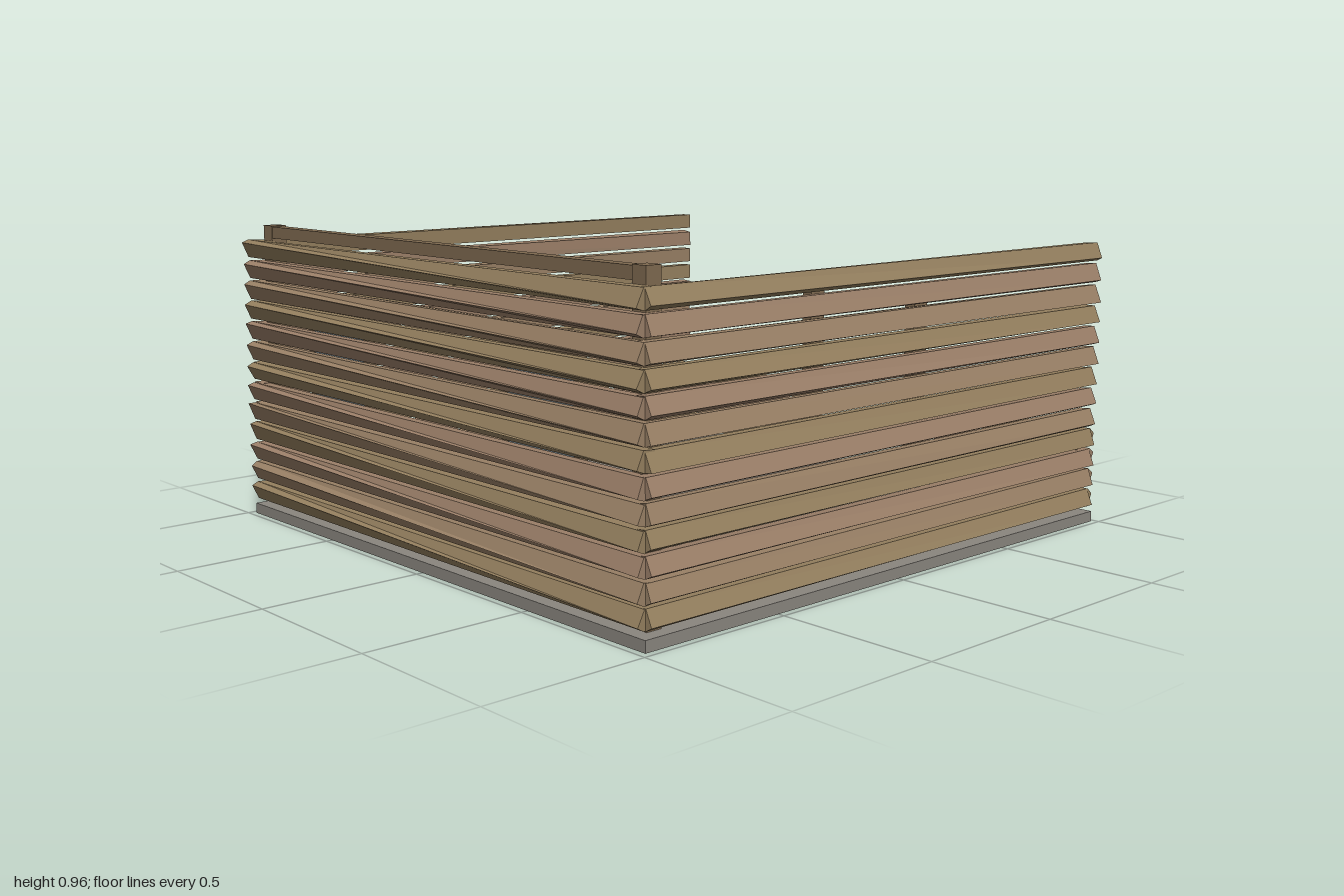
import * as THREE from 'three';

const paint = (color) => new THREE.MeshStandardMaterial({ color, flatShading: true });
const WOODS = [0x9a8166, 0x95805f, 0x9c8069].map(paint);
const POST = paint(0x7f6a50);
const STONE = paint(0x8a867f);
const GLASS = paint(0x71818a);

// Small seeded generator for the hand-hewn irregularity
let seed = 7;
const vary = (amount) => {
  seed = (seed * 16807) % 2147483647;
  return (seed / 2147483647 - 0.5) * 2 * amount;
};

// Five-sided log along x, outer ridge on +z sliding from height r0 to r1
function logGeometry(length, r0, r1) {
  const ring = (x, r) => [
    [-0.03, -0.026], [-0.03, 0.026], [0.01, 0.029], [0.032, r], [0.01, -0.029],
  ].map(([z, y]) => [x, y + vary(0.002), z + vary(0.002)]);
  const a = ring(-length / 2, r0);
  const b = ring(length / 2, r1);
  const out = [];
  const tri = (...corners) => corners.forEach((c) => out.push(...c));
  for (let i = 0; i < 5; i++) {
    const j = (i + 1) % 5;
    tri(a[i], a[j], b[j]);
    tri(a[i], b[j], b[i]);
  }
  for (let i = 1; i < 4; i++) {
    tri(b[0], b[i], b[i + 1]);
    tri(a[0], a[i + 1], a[i]);
  }
  const geometry = new THREE.BufferGeometry();
  geometry.setAttribute('position', new THREE.Float32BufferAttribute(out, 3));
  geometry.computeVertexNormals();
  return geometry;
}

// Stack of logs, turned so that the ridges face outwards
function logWall(name, { x, z, turn, length, rows, r0, r1 }) {
  const wall = new THREE.Group();
  wall.name = name;
  for (let i = 0; i < rows; i++) {
    const log = new THREE.Mesh(
      logGeometry(length, r0 + vary(0.004), r1 + vary(0.004)),
      WOODS[(i * 2 + rows) % 3]
    );
    log.name = 'log';
    log.position.y = 0.081 + i * 0.0673;
    wall.add(log);
  }
  wall.position.set(x, 0, z);
  wall.rotation.y = turn;
  return wall;
}

// Box given by its lower and upper corners
function box(name, lo, hi, material) {
  const size = hi.map((h, i) => h - lo[i]);
  const mesh = new THREE.Mesh(new THREE.BoxGeometry(...size), material);
  mesh.position.set(...lo.map((l, i) => l + size[i] / 2));
  mesh.name = name;
  return mesh;
}

// Framed two-pane window on the inner face of the front wall
function makeWindow(cx) {
  const g = new THREE.Group();
  g.name = 'window';
  const w = 0.165, y0 = 0.395, y1 = 0.715, t = 0.018;
  g.add(box('glass', [cx - w + t, y0 + t, 0.915], [cx + w - t, y1 - t, 0.928], GLASS));
  for (const s of [-1, 1]) {
    const x = cx + s * (w - t / 2);
    g.add(box('frameSide', [x - t / 2, y0, 0.903], [x + t / 2, y1, 0.935], POST));
  }
  for (const y of [y0, y1 - t]) {
    g.add(box('frameRail', [cx - w + t, y, 0.903], [cx + w - t, y + t, 0.935], POST));
  }
  g.add(box('mullion', [cx - 0.004, y0 + t, 0.911], [cx + 0.004, y1 - t, 0.928], POST));
  return g;
}

export function createModel() {
  seed = 7;
  const model = new THREE.Group();
  model.name = 'logCabin';

  model.add(box('floor', [-0.98, 0, -0.985], [0.98, 0.034, 0.98], STONE));

  // Full-height walls on three sides
  model.add(logWall('frontWall', { x: 0, z: 0.965, turn: 0, length: 1.94, rows: 13, r0: 0.021, r1: -0.02 }));
  model.add(logWall('leftWall', { x: 0.96, z: 0, turn: Math.PI / 2, length: 1.94, rows: 13, r0: -0.02, r1: -0.023 }));
  model.add(logWall('rightWall', { x: -0.96, z: 0, turn: -Math.PI / 2, length: 1.94, rows: 13, r0: 0.012, r1: 0.005 }));

  for (const s of [-1, 1]) {
    // Low back walls either side of the doorway
    model.add(logWall('backWall', { x: s * 0.61, z: -0.965, turn: Math.PI, length: 0.72, rows: 4, r0: 0.01, r1: -0.01 }));
    const d = s * 0.245;
    model.add(box('doorPost', [d - 0.021, 0.034, -1], [d + 0.021, 0.68, -0.928], POST));
    const c = s * 0.91;
    model.add(box('cornerPost', [c - 0.026, 0.034, 0.885], [c + 0.026, 0.965, 0.936], POST));
    model.add(makeWindow(s * 0.505));
  }

  // Beam along the top of the front wall
  model.add(box('topBeam', [-0.884, 0.925, 0.893], [0.884, 0.962, 0.934], POST));
  return model;
}
